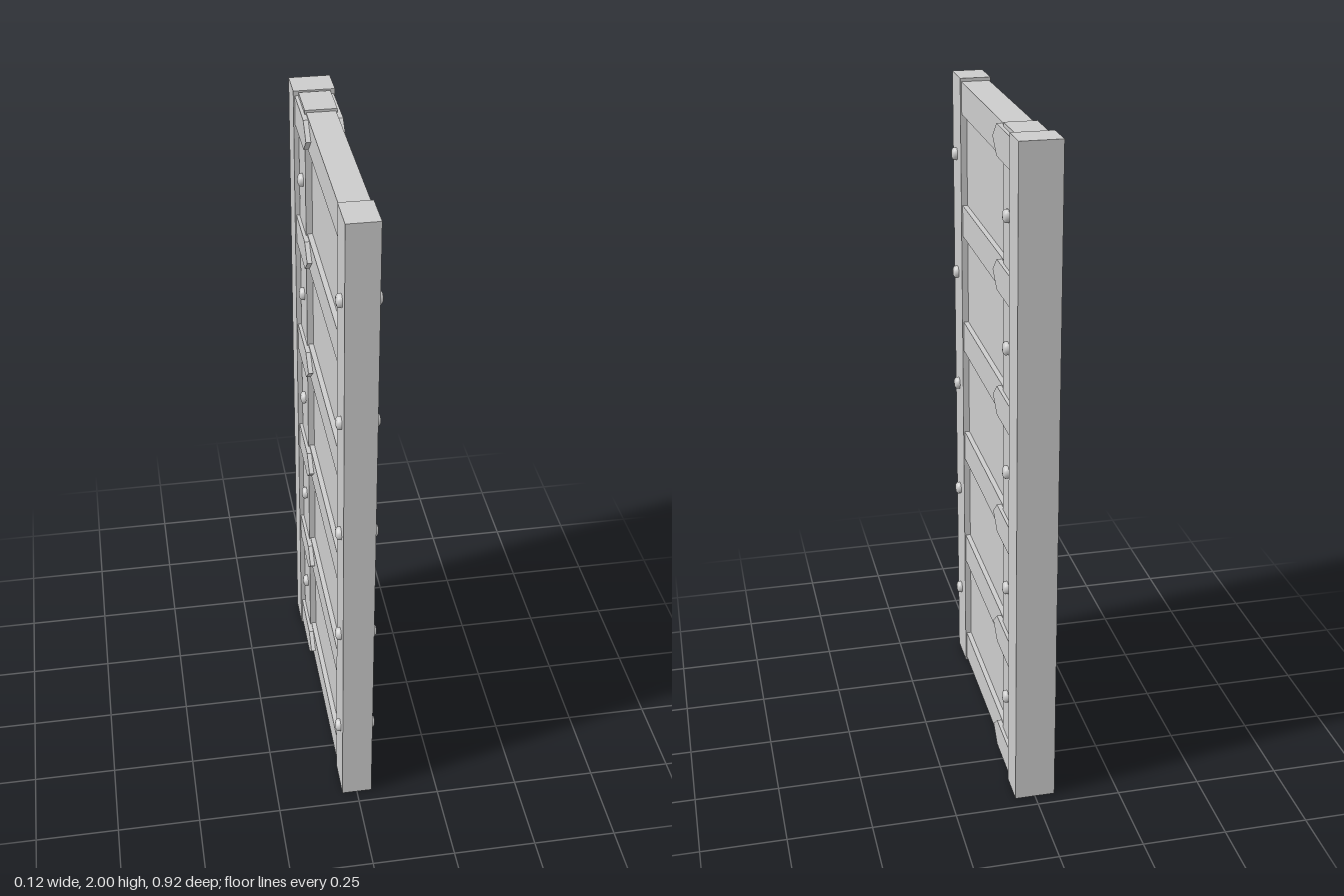
import * as THREE from 'three';

const material = new THREE.MeshStandardMaterial({ color: 0xcccccc });

export function createModel() {
  const model = new THREE.Group();

  const add = (name, geometry, x = 0, y = 0, z = 0) => {
    const mesh = new THREE.Mesh(geometry, material);
    mesh.name = name;
    mesh.position.set(x, y, z);
    model.add(mesh);
    return mesh;
  };
  // Box centred on x, given its half width and its y and z ranges
  const slab = (name, halfX, y0, y1, z0, z1) =>
    add(name, new THREE.BoxGeometry(halfX * 2, y1 - y0, z1 - z0), 0, (y0 + y1) / 2, (z0 + z1) / 2);

  // Upright members
  slab('frontStile', 0.046, 0, 2, 0.342, 0.459);
  slab('hingeStile', 0.046, 0, 1.997, -0.355, -0.229);
  slab('hingePost', 0.06, 0, 2, -0.459, -0.36);

  // Recessed panel behind all the rails
  slab('panel', 0.027, 0.03, 1.97, -0.24, 0.35);

  // Pointed hinge strap: outline in z and y, extruded along x
  const outline = new THREE.Shape();
  outline.moveTo(-0.362, -0.044);
  outline.lineTo(-0.19, -0.044);
  outline.lineTo(-0.14, 0);
  outline.lineTo(-0.19, 0.044);
  outline.lineTo(-0.362, 0.044);
  outline.closePath();
  const strapGeometry = new THREE.ExtrudeGeometry(outline, { depth: 0.014, bevelEnabled: false });
  strapGeometry.translate(0, 0, -0.007);
  strapGeometry.rotateY(-Math.PI / 2);

  // Six cross rails, each with a strap on both faces
  const pitch = 0.3766;
  for (let i = 0; i < 6; i++) {
    const y = 0.0585 + i * pitch;
    slab('rail', 0.042, y - 0.0485, y + 0.0485, -0.235, 0.345);
    for (const side of [-1, 1]) add('hingeStrap', strapGeometry, side * 0.049, y);
  }

  // Rivets: short shank with a faceted domed head, axis turned onto x
  const rivetGeometry = new THREE.LatheGeometry([
    new THREE.Vector2(0.019, 0),
    new THREE.Vector2(0.019, 0.01),
    new THREE.Vector2(0.013, 0.015),
    new THREE.Vector2(0, 0.017),
  ], 16);
  rivetGeometry.rotateZ(-Math.PI / 2);
  for (let i = 0; i < 5; i++) {
    for (const z of [0.409, -0.287]) {
      for (const side of [-1, 1]) {
        const rivet = add('rivet', rivetGeometry, side * 0.045, 0.252 + i * 0.3766, z);
        if (side < 0) rivet.rotation.y = Math.PI;
      }
    }
  }
  return model;
}
